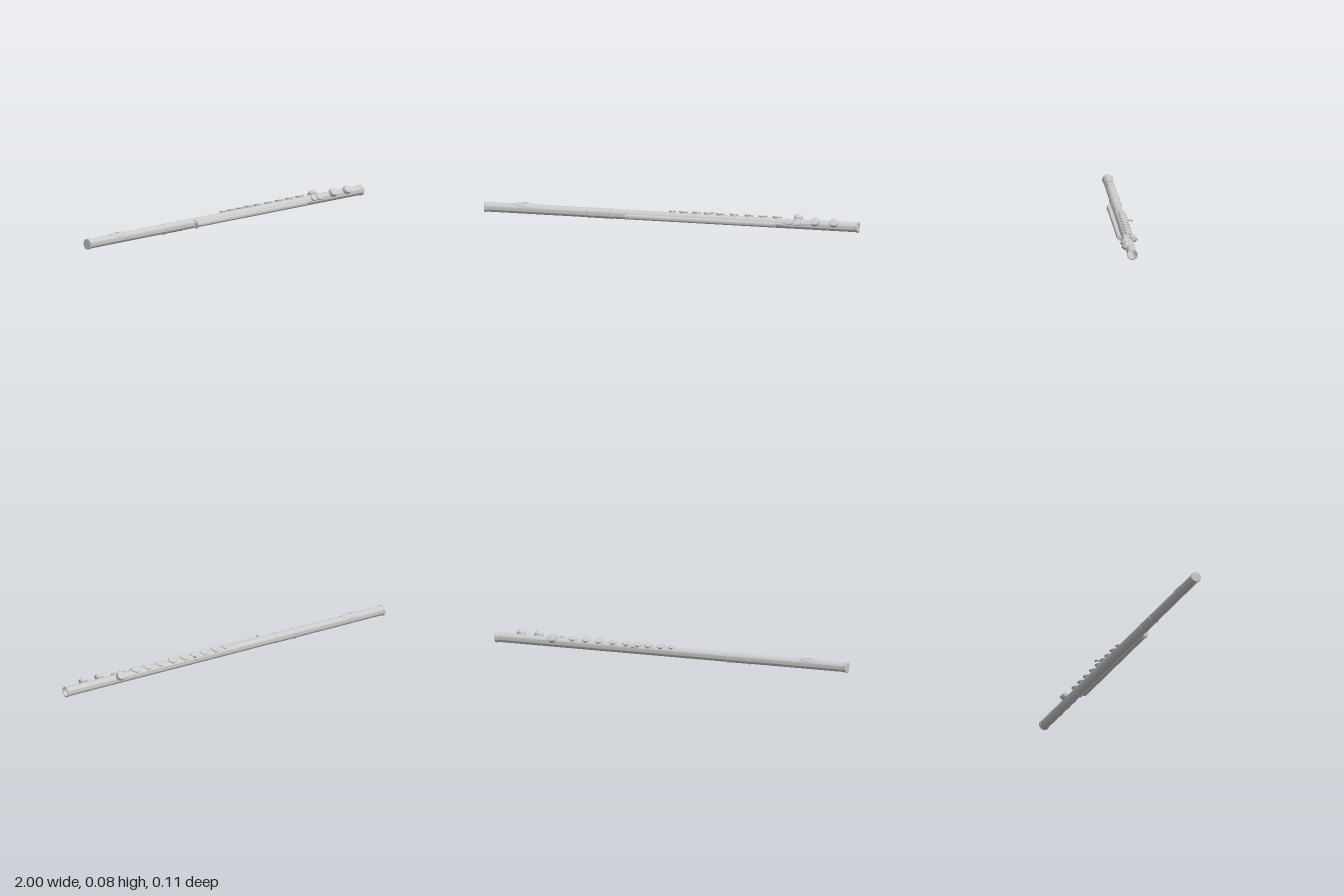
import * as THREE from 'three';
import { toCreasedNormals } from 'three/addons/utils/BufferGeometryUtils.js';

const AXIS_Y = 0.029; // height of the bore axis
const R = 0.0255; // outer radius of the tube
const mat = new THREE.MeshStandardMaterial({ color: 0xcccccc, side: THREE.DoubleSide });

function add(parent, name, geometry, x = 0, y = 0, z = 0) {
  const m = new THREE.Mesh(geometry, mat);
  m.name = name;
  m.position.set(x, y, z);
  parent.add(m);
  return m;
}

// Lathe from [radius, height] pairs with crisp edges
function turned(points, segments = 40) {
  const g = new THREE.LatheGeometry(points.map(p => new THREE.Vector2(p[0], p[1])), segments);
  return toCreasedNormals(g, 0.6);
}

// Lathe whose height runs along +x
const turnedX = (points, segments) => turned(points, segments).rotateZ(-Math.PI / 2);

// Rounded key cup, its base at height 0
function cupGeometry(r, h) {
  const b = Math.min(h * 0.3, r * 0.2);
  return turned([[0, 0], [r - b, 0], [r, b], [r, h - b], [r - b * 0.3, h - b * 0.3],
    [r - b, h], [r * 0.6, h], [0, h]], 32);
}

// Key set around the tube: angle from vertical, positive towards the front
function addKey(parent, name, x, angle, base, r, h) {
  const key = new THREE.Group();
  key.name = name;
  key.position.set(x, 0, 0);
  key.rotation.x = angle;
  add(key, name + 'Cup', cupGeometry(r, h), 0, base, 0);
  // tone hole chimney beneath the cup
  add(key, name + 'Chimney', new THREE.CylinderGeometry(r * 0.75, r * 0.75, base - 0.015, 24), 0, (base + 0.015) / 2, 0);
  parent.add(key);
}

// Curved lip plate with an oval blow hole, made of elliptical loops
function lipPlateGeometry() {
  const n = 48;
  // half length, half width, height above the tube
  const loops = [[0.013, 0.009, -0.003], [0.013, 0.009, 0.007], [0.028, 0.015, 0.0065],
    [0.042, 0.019, 0.004], [0.056, 0.022, 0.002], [0.057, 0.0225, -0.002]];
  const pos = [], idx = [];
  loops.forEach(([a, b, h], k) => {
    for (let i = 0; i < n; i++) {
      const t = i / n * Math.PI * 2;
      const c = Math.cos(t), s = Math.sin(t);
      const x = a * Math.sign(c) * Math.abs(c) ** 0.75;
      const z = b * Math.sign(s) * Math.abs(s) ** 0.75;
      pos.push(x, Math.sqrt(R * R - z * z) + h, z);
      if (k < loops.length - 1) {
        const j = (i + 1) % n, p = k * n, q = p + n;
        idx.push(p + i, p + j, q + i, p + j, q + j, q + i);
      }
    }
  });
  const g = new THREE.BufferGeometry();
  g.setAttribute('position', new THREE.Float32BufferAttribute(pos, 3));
  g.setIndex(idx);
  g.computeVertexNormals();
  return toCreasedNormals(g, 0.8);
}

export function createModel() {
  const model = new THREE.Group();
  model.name = 'flute';
  const flute = new THREE.Group();
  flute.name = 'instrument';
  flute.position.y = AXIS_Y;
  model.add(flute);

  // Tube: closed at the head, open at the foot
  add(flute, 'tube', turnedX([[0, -0.99], [R, -0.99], [R, 0.995], [R - 0.003, 0.995], [R - 0.003, -0.97], [0, -0.97]]));
  add(flute, 'headCrown', turnedX([[0, -1], [0.026, -1], [0.0285, -0.998], [0.0285, -0.99], [R, -0.986]]));
  add(flute, 'footRing', turnedX([[0.0225, 0.988], [R, 0.986], [0.0285, 0.99], [0.0285, 0.998], [0.0265, 1], [0.0225, 1], [0.0225, 0.988]]));

  // Barrel with its two rings
  add(flute, 'barrel', turnedX([[R, -0.442], [0.0265, -0.442], [0.0265, -0.322], [R, -0.322]]));
  for (const x of [-0.442, -0.322]) {
    add(flute, 'barrelRing', turnedX([[R, -0.007], [0.028, -0.005], [0.029, 0], [0.028, 0.005], [R, 0.007]]), x);
  }

  add(flute, 'lipPlate', lipPlateGeometry(), -0.785);

  // Main row of flat keys
  const row = [0, 0.06, 0.13, 0.19, 0.255, 0.33, 0.41, 0.485, 0.56];
  row.forEach((x, i) => addKey(flute, 'mainKey', x, -0.28, 0.0275, i ? 0.0235 : 0.018, 0.007));

  // Foot keys, side keys and the rear key
  for (const x of [0.77, 0.87]) addKey(flute, 'footKey', x, 0.86, 0.023, 0.0225, 0.026);
  addKey(flute, 'sideKey', 0.63, 1.0, 0.024, 0.018, 0.012);
  addKey(flute, 'sideKey', 0.672, 1.0, 0.024, 0.02, 0.012);
  addKey(flute, 'rearKey', 0.67, -0.86, 0.023, 0.0225, 0.026);

  // Rear touch lever
  const path = new THREE.CatmullRomCurve3([new THREE.Vector3(0.2, 0.018, -0.018),
    new THREE.Vector3(0.2, 0.024, -0.036), new THREE.Vector3(0.205, 0.021, -0.05)]);
  add(flute, 'touchLever', new THREE.TubeGeometry(path, 10, 0.004, 10));
  add(flute, 'touchPad', new THREE.SphereGeometry(0.006, 16, 10).scale(2.2, 1, 0.8), 0.203, 0.022, -0.05);

  // Long hinge rod along the front
  add(flute, 'hingeRod', turnedX([[0, -0.24], [0.0125, -0.24], [0.0125, 0.56], [0, 0.56]], 24), 0, 0, 0.0405);
  add(flute, 'hingePin', turnedX([[0, 0.56], [0.006, 0.56], [0.006, 0.6], [0, 0.6]], 16), 0, 0.002, 0.034);
  add(flute, 'rodRing', new THREE.TorusGeometry(0.0205, 0.0025, 10, 40).rotateY(Math.PI / 2), -0.238, 0, 0.033);

  // Posts joining the rod to the tube
  for (const x of [-0.2, 0.15, 0.54]) {
    add(flute, 'rodPost', new THREE.CylinderGeometry(0.005, 0.005, 0.02, 12).rotateX(Math.PI / 2), x, 0, 0.03);
  }
  return model;
}
